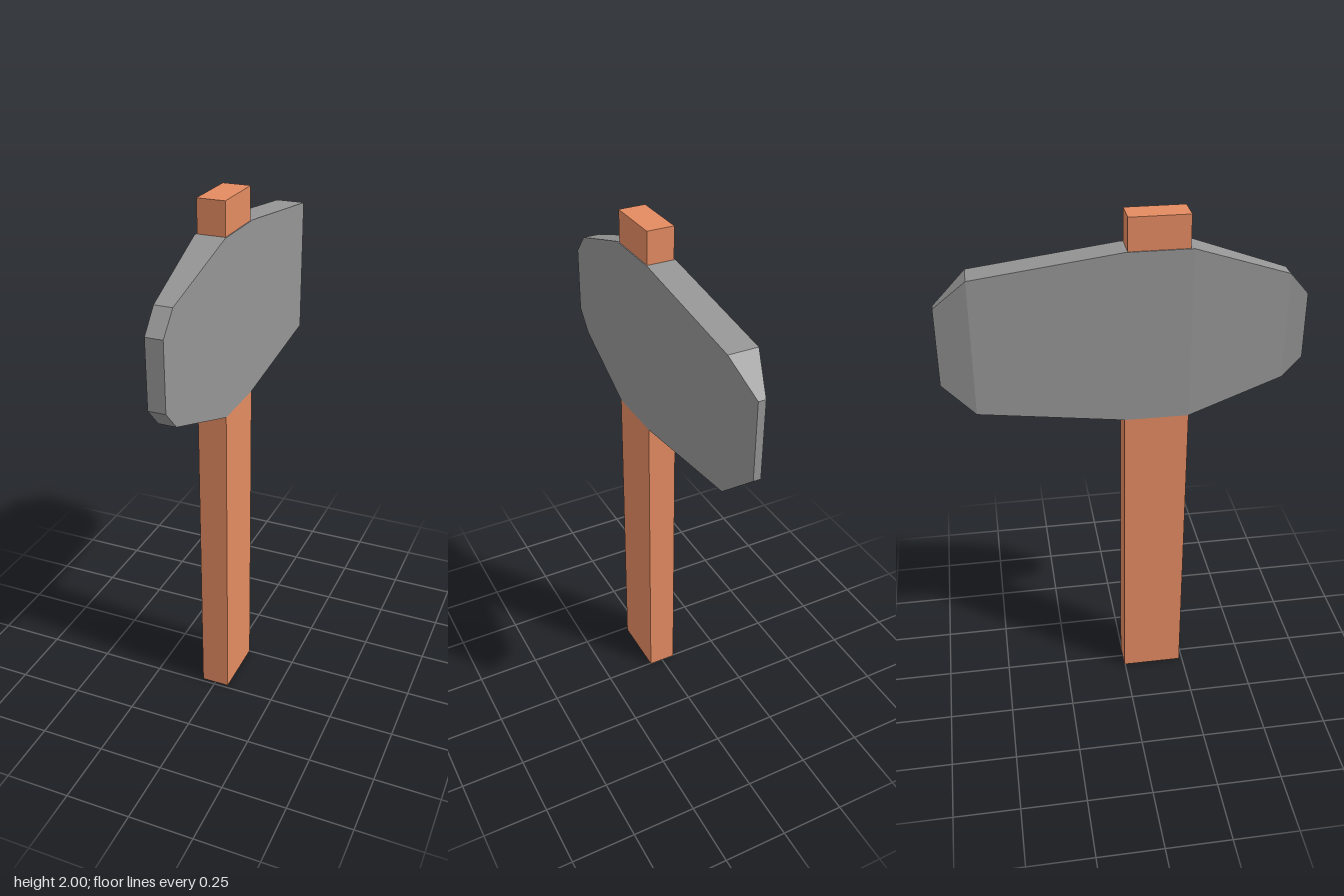
import * as THREE from 'three';

// Loft of rectangular sections [z, halfWidth, bottom, top], listed from front to back
function loftRects(sections) {
  const rings = sections.map(([z, w, y0, y1]) => [[w, y1, z], [-w, y1, z], [-w, y0, z], [w, y0, z]]);
  const pos = [];
  const quad = (a, b, c, d) => pos.push(...a, ...b, ...c, ...a, ...c, ...d);
  for (let i = 0; i < rings.length - 1; i++) {
    const f = rings[i], r = rings[i + 1];
    for (let k = 0; k < 4; k++) {
      const n = (k + 1) % 4;
      quad(f[k], r[k], r[n], f[n]);
    }
  }
  quad(...rings[0]);
  quad(...rings[rings.length - 1].slice().reverse());
  const geo = new THREE.BufferGeometry();
  geo.setAttribute('position', new THREE.Float32BufferAttribute(pos, 3));
  geo.computeVertexNormals();
  return geo;
}

function addMesh(parent, name, geometry, material) {
  const mesh = new THREE.Mesh(geometry, material);
  mesh.name = name;
  parent.add(mesh);
  return mesh;
}

export function createModel() {
  const group = new THREE.Group();
  group.name = 'hammer';
  const wood = new THREE.MeshStandardMaterial({ color: 0xe38b61, flatShading: true });
  const metal = new THREE.MeshStandardMaterial({ color: 0x959595, flatShading: true });

  // Handle shaft below the head
  addMesh(group, 'handle', new THREE.BoxGeometry(0.11, 1.23, 0.24), wood).position.set(0, 0.615, 0.117);

  // Slightly narrower end of the handle, running through and out of the head
  addMesh(group, 'handleTop', new THREE.BoxGeometry(0.102, 0.77, 0.218), wood).position.set(0, 1.615, 0.116);

  // Flat head: blunt tapered front, bevelled wedge at the back
  addMesh(group, 'head', loftRects([
    [0.66, 0.032, 1.43, 1.68],
    [0.59, 0.033, 1.353, 1.76],
    [0.237, 0.055, 1.23, 1.88],
    [-0.003, 0.055, 1.23, 1.88],
    [-0.54, 0.055, 1.3, 1.81],
    [-0.66, 0.014, 1.405, 1.7],
  ]), metal);

  return group;
}
